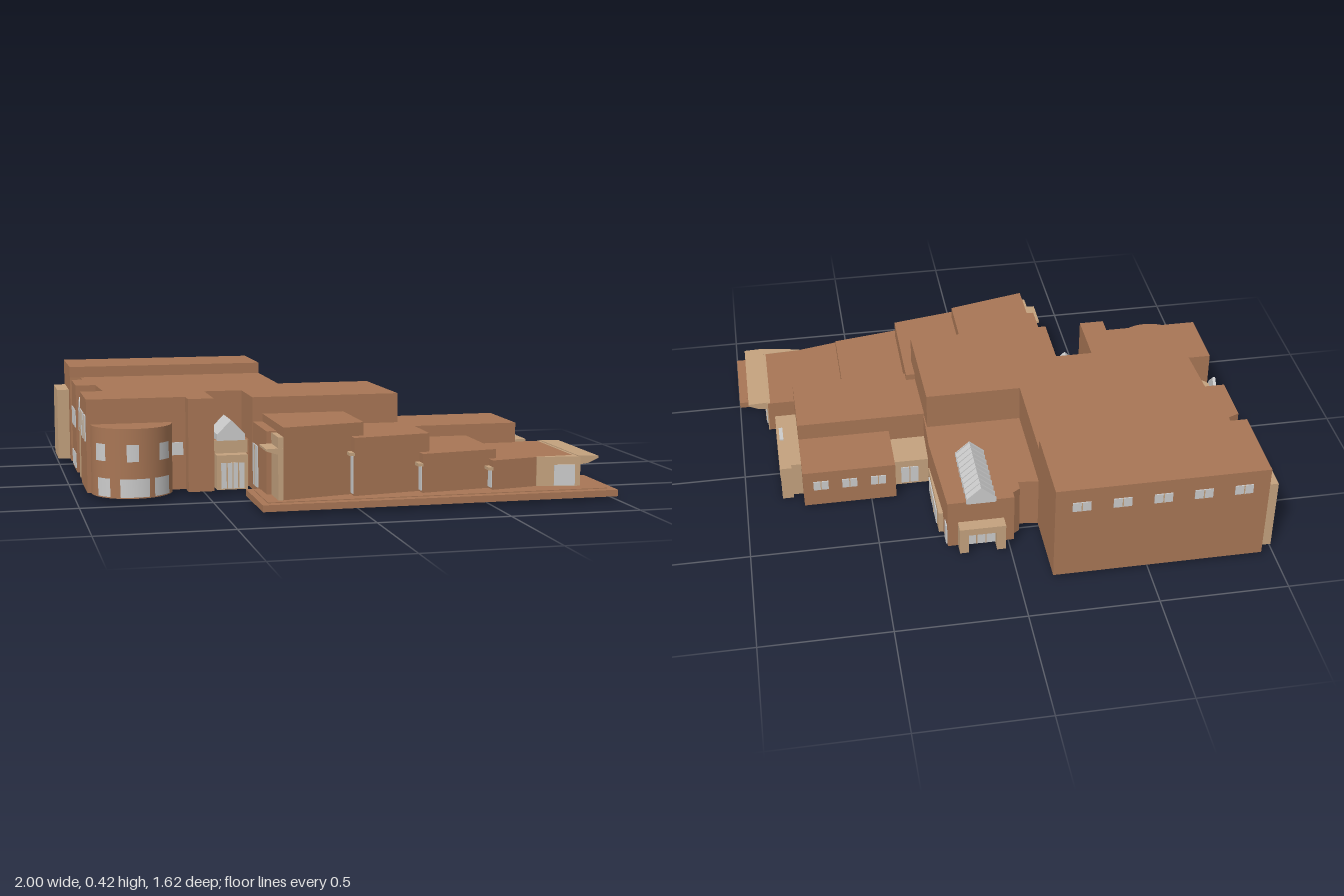
import * as THREE from 'three';

const brown = new THREE.MeshStandardMaterial({ color: 0xa87655 });
const tan = new THREE.MeshStandardMaterial({ color: 0xc4a27e });
const glass = new THREE.MeshStandardMaterial({ color: 0xcccccc, side: THREE.DoubleSide });

export function createModel() {
  const root = new THREE.Group();
  root.name = 'lowRiseSchoolBuilding';

  const add = (name, geo, mat, parent = root) => {
    const m = new THREE.Mesh(geo, mat);
    m.name = name;
    parent.add(m);
    return m;
  };
  // Box from its limits
  const box = (name, mat, x0, x1, y0, y1, z0, z1) => {
    const m = add(name, new THREE.BoxGeometry(x1 - x0, y1 - y0, z1 - z0), mat);
    m.position.set((x0 + x1) / 2, (y0 + y1) / 2, (z0 + z1) / 2);
    return m;
  };
  const shapeOf = (pts) => new THREE.Shape(pts.map((p) => new THREE.Vector2(p[0], p[1])));
  // Upright prism over a plan outline of [x, z] points
  const prism = (name, mat, pts, y0, y1) => {
    const g = new THREE.ExtrudeGeometry(shapeOf(pts), { depth: y1 - y0, bevelEnabled: false });
    g.rotateX(Math.PI / 2).translate(0, y1, 0);
    return add(name, g, mat);
  };
  // Prism along z over a front profile of [x, y] points
  const profileZ = (name, mat, pts, z0, z1) => {
    const g = new THREE.ExtrudeGeometry(shapeOf(pts), { depth: z1 - z0, bevelEnabled: false });
    return add(name, g.translate(0, 0, z0), mat);
  };
  // Glazing on walls facing z or x, with a frame bar between panes
  const T = 0.004;
  const windowZ = (x0, x1, y0, y1, z, panes = 1) => {
    box('window', glass, x0, x1, y0, y1, z - T, z + T);
    for (let i = 1; i < panes; i++) {
      const x = x0 + ((x1 - x0) * i) / panes;
      box('windowBar', tan, x - 0.002, x + 0.002, y0, y1, z - 0.006, z + 0.006);
    }
  };
  const windowX = (z0, z1, y0, y1, x, panes = 1) => {
    box('window', glass, x - T, x + T, y0, y1, z0, z1);
    for (let i = 1; i < panes; i++) {
      const z = z0 + ((z1 - z0) * i) / panes;
      box('windowBar', tan, x - 0.006, x + 0.006, y0, y1, z - 0.002, z + 0.002);
    }
  };

  // Tall hall at the back, with high windows and a side buttress
  box('hall', brown, -0.95, -0.13, 0.015, 0.42, -0.81, -0.49);
  box('hallSideBlock', tan, -1, -0.95, 0.015, 0.315, -0.77, -0.56);
  for (let i = 0; i < 5; i++) {
    const x = -0.85 + i * 0.155;
    windowZ(x - 0.035, x + 0.035, 0.32, 0.36, -0.81, 2);
  }

  // Main two-storey block with side recesses and the front entrance notch
  prism('mainBlock', brown, [
    [-0.95, -0.49], [-0.905, -0.48], [-0.905, -0.41], [-0.95, -0.39], [-0.95, -0.19],
    [-0.87, -0.19], [-0.86, 0.02], [-0.95, 0.02], [-0.95, 0.28], [-0.57, 0.28],
    [-0.57, 0.35], [-0.47, 0.35], [-0.47, 0.12], [-0.32, 0.12], [-0.32, 0.35],
    [0.26, 0.35], [0.25, -0.08], [-0.13, -0.08], [-0.13, -0.49],
  ], 0.015, 0.375);
  windowZ(-0.63, -0.58, 0.15, 0.2, 0.28);
  for (const z of [-0.35, -0.29, -0.23]) {
    windowX(z - 0.017, z + 0.017, 0.03, 0.09, -0.95);
    windowX(z - 0.017, z + 0.017, 0.2, 0.27, -0.95);
  }
  for (const z of [0.07, 0.15, 0.23]) windowX(z - 0.022, z + 0.022, 0.21, 0.31, -0.95, 2);

  // Rounded front bay with curved windows on two floors
  const R = 0.155, cx = -0.78, cz = 0.285;
  const bay = add('roundedBay', new THREE.CylinderGeometry(R, R, 0.265, 40, 1, false, -Math.PI / 2, Math.PI), brown);
  bay.position.set(cx, 0.1475, cz);
  for (const [x0, x1, y0, y1] of [
    [-0.92, -0.89, 0.155, 0.22], [-0.815, -0.77, 0.155, 0.22], [-0.69, -0.65, 0.155, 0.22],
    [-0.915, -0.875, 0.02, 0.09], [-0.84, -0.73, 0.02, 0.09], [-0.71, -0.65, 0.02, 0.09],
  ]) {
    const a = Math.asin((x0 - cx) / R), b = Math.asin((x1 - cx) / R);
    const w = add('curvedWindow', new THREE.CylinderGeometry(R + 0.002, R + 0.002, y1 - y0, 10, 1, true, a, b - a), glass);
    w.position.set(cx, (y0 + y1) / 2, cz);
  }

  // Rounded stair bay in the side recess, with a gabled window on top
  const stair = add('sideBay', new THREE.CylinderGeometry(0.085, 0.085, 0.265, 28, 1, false, Math.PI, Math.PI), tan);
  stair.position.set(-0.862, 0.1475, -0.085);
  const gable = profileZ('sideGableWindow', glass, [[-0.045, 0.2], [0.045, 0.2], [0.045, 0.29], [0, 0.34], [-0.045, 0.29]], 0, 0.012);
  gable.rotation.y = -Math.PI / 2;
  gable.position.set(-0.934, 0, -0.085);

  // Front entrance: glazed gable roof, porch and doors
  box('entranceCore', brown, -0.47, -0.32, 0.015, 0.2, 0.12, 0.27);
  profileZ('entranceGlassRoof', glass, [[-0.447, 0.2], [-0.338, 0.2], [-0.338, 0.225], [-0.392, 0.28], [-0.447, 0.225]], 0.12, 0.285);
  box('entrancePorch', tan, -0.457, -0.335, 0.015, 0.15, 0.27, 0.33);
  box('entranceLintel', tan, -0.465, -0.327, 0.15, 0.2, 0.265, 0.28);
  windowZ(-0.44, -0.35, 0.02, 0.12, 0.33, 4);

  // Single-storey wing at the back with its own entrances
  prism('backWing', brown, [
    [-0.14, -0.5], [-0.05, -0.49], [-0.05, -0.53], [-0.02, -0.55], [-0.02, -0.58],
    [0.24, -0.58], [0.26, -0.2], [0.255, 0], [-0.14, 0],
  ], 0.015, 0.225);
  const x0 = 0.055, x1 = 0.165, ridge = 0.11;
  profileZ('wingSkylight', glass, [[x0, 0.22], [x1, 0.22], [x1, 0.24], [ridge, 0.29], [x0, 0.24]], -0.588, -0.29);
  for (let i = 0; i <= 9; i++) {
    const z = -0.586 + i * 0.0325;
    profileZ('skylightRib', glass, [[x0 - 0.003, 0.222], [x1 + 0.003, 0.222], [x1 + 0.003, 0.243], [ridge, 0.294], [x0 - 0.003, 0.243]], z - 0.002, z + 0.002);
  }
  for (const x of [0.02, 0.165]) box('backPorchPier', tan, x, x + 0.035, 0.015, 0.1, -0.63, -0.575);
  box('backPorchRoof', tan, 0.02, 0.2, 0.1, 0.13, -0.63, -0.575);
  windowZ(0.055, 0.165, 0.02, 0.1, -0.584, 3);
  windowX(-0.57, -0.53, 0.02, 0.11, 0.242);
  box('wingSideEntrance', tan, 0.235, 0.263, 0.015, 0.108, -0.49, -0.2);
  windowX(-0.44, -0.23, 0.018, 0.085, 0.263, 3);

  // Right-hand wing in two heights, with its service annexes
  box('sideWingHigh', brown, 0.24, 0.77, 0.005, 0.235, 0, 0.3);
  box('sideWingLow', brown, 0.4, 0.77, 0.005, 0.165, -0.23, 0);
  box('sideWingLink', tan, 0.25, 0.4, 0.005, 0.12, -0.155, 0);
  for (const x of [0.47, 0.585, 0.7]) windowZ(x - 0.03, x + 0.03, 0.08, 0.12, -0.23, 2);
  windowZ(0.3, 0.37, 0.015, 0.09, -0.155, 2);
  prism('serviceAnnex', tan, [[0.77, -0.145], [0.81, -0.145], [0.81, -0.165], [0.855, -0.165], [0.855, 0.197], [0.77, 0.197]], 0, 0.15);
  for (const z of [0.12, 0.03, -0.035]) box('annexJoint', tan, 0.855, 0.857, 0.005, 0.145, z - 0.002, z + 0.002);
  box('annexVent', glass, 0.83, 0.845, 0.148, 0.156, 0.025, 0.105);

  // Stepped row of rooms with a saw-tooth front, lower towards the right
  const row = [
    [[[-0.28, 0.34], [0.04, 0.34], [0.04, 0.66], [-0.28, 0.735]], 0.31],
    [[[0.03, 0.25], [0.295, 0.25], [0.295, 0.66], [-0.01, 0.715], [-0.01, 0.66], [0.03, 0.62]], 0.26],
    [[[0.28, 0.285], [0.56, 0.285], [0.56, 0.66], [0.255, 0.71], [0.255, 0.66], [0.28, 0.62]], 0.19],
    [[[0.55, 0.285], [0.88, 0.285], [0.88, 0.7], [0.72, 0.67], [0.53, 0.71], [0.53, 0.66], [0.55, 0.62]], 0.155],
  ];
  row.forEach(([pts, top]) => prism('classroom', brown, pts, 0.02, top));
  for (const [x, z, y] of [[-0.028, 0.67, 0.205], [0.237, 0.667, 0.155], [0.512, 0.667, 0.13]]) {
    box('returnWallHood', tan, x, x + 0.02, y - 0.012, y, z, z + 0.045);
    windowX(z, z + 0.035, 0.05, y - 0.015, x + 0.018);
  }

  // Left end of the row: set-back wall and small hood
  box('rowEndWall', brown, -0.318, -0.28, 0.02, 0.28, 0.34, 0.61);
  box('rowEndPanel', tan, -0.3, -0.279, 0.02, 0.275, 0.61, 0.734);
  profileZ('rowEndHood', tan, [[-0.345, 0.225], [-0.28, 0.205], [-0.28, 0.235], [-0.345, 0.233]], 0.61, 0.735);
  windowX(0.36, 0.45, 0.04, 0.2, -0.318, 2);

  // Right end of the row: glazed corner under a deep canopy
  prism('cornerWall', tan, [[0.72, 0.668], [0.72, 0.673], [0.885, 0.704], [0.885, 0.286], [0.87, 0.286], [0.87, 0.66]], 0.02, 0.156);
  profileZ('endCanopy', tan, [[0.88, 0.125], [0.92, 0.13], [0.96, 0.148], [0.96, 0.156], [0.88, 0.159]], 0.288, 0.7);
  windowX(0.32, 0.39, 0.03, 0.11, 0.886, 3);
  windowX(0.55, 0.68, 0.045, 0.125, 0.886, 2);
  const front = box('cornerWindow', glass, -0.04, 0.04, 0.045, 0.125, -T, T);
  front.position.set(0.825, 0.085, 0.693);
  front.rotation.y = -Math.atan2(0.03, 0.16);

  // Terrace along the front with a raised inner paving
  box('terrace', brown, -0.37, 1, 0.015, 0.04, 0.47, 0.8);
  box('terracePaving', brown, -0.345, 0.97, 0.02, 0.043, 0.5, 0.765);

  return root;
}
